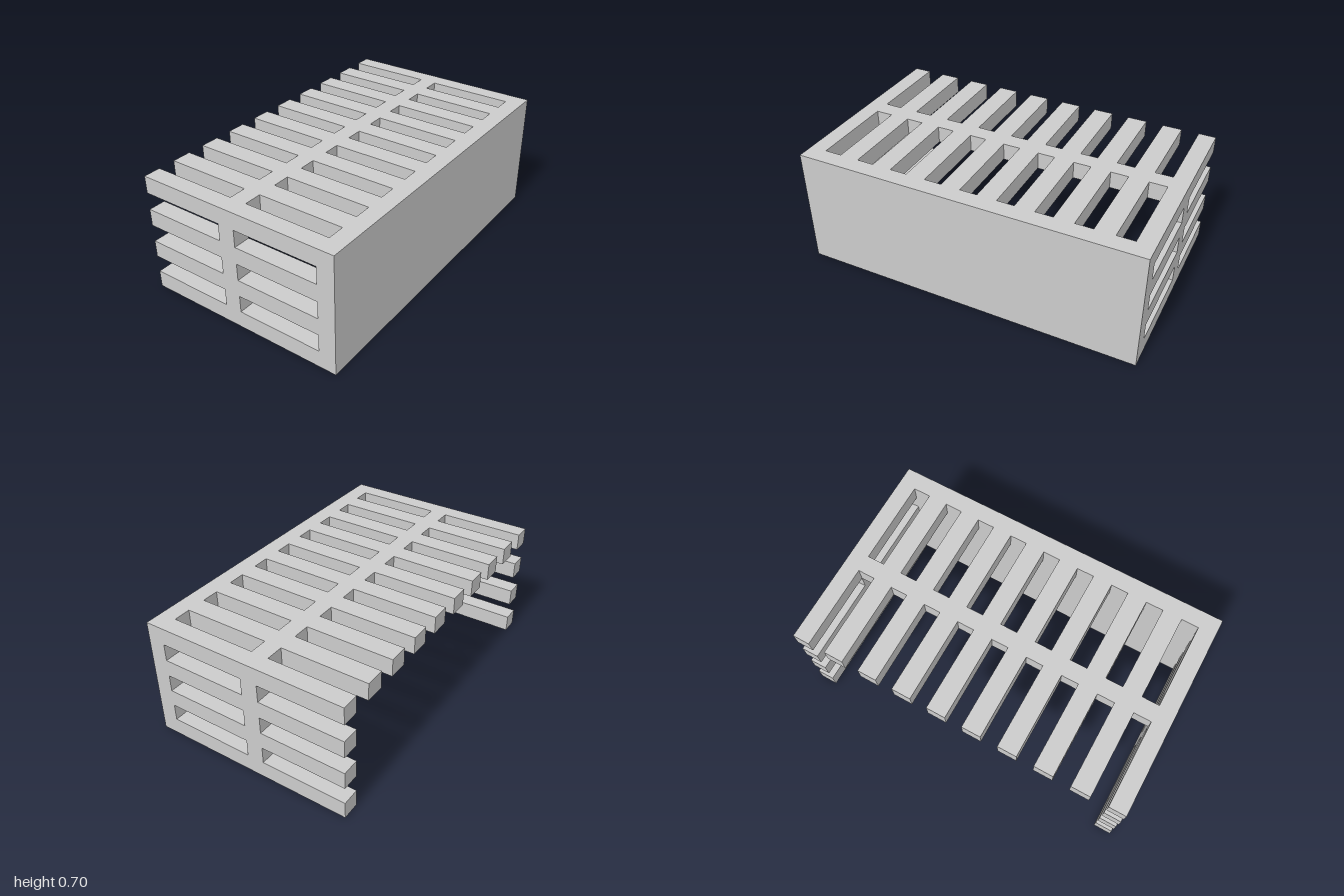
import * as THREE from 'three';

const T = 0.1;                      // wall, rail and slot thickness
const W = 2, H = 0.7, D = 1.2;      // overall size
const FRONT = D / 2 - T;            // inner face of the front wall

export function createModel() {
  const group = new THREE.Group();
  const material = new THREE.MeshStandardMaterial({ color: 0xcccccc, flatShading: true });

  // Box given by its minimum and maximum corners
  const block = (name, x0, x1, y0, y1, z0, z1) => {
    const mesh = new THREE.Mesh(new THREE.BoxGeometry(x1 - x0, y1 - y0, z1 - z0), material);
    mesh.position.set((x0 + x1) / 2, (y0 + y1) / 2, (z0 + z1) / 2);
    mesh.name = name;
    group.add(mesh);
  };

  // Solid front wall
  block('frontWall', -W / 2, W / 2, 0, H, FRONT, D / 2);

  // Top: ten bars running back from the wall, tied by a cross rail
  const slots = 9;
  const pitch = (W - 3 * T) / (slots - 1);
  const slotStart = (i) => -W / 2 + T + i * pitch;
  for (let i = 0; i <= slots; i++) {
    const x0 = i === 0 ? -W / 2 : slotStart(i - 1) + T;
    const x1 = i === slots ? W / 2 : slotStart(i);
    block('topBar', x0, x1, H - T, H, -D / 2, FRONT);
    if (i < slots) block('topRail', x1, x1 + T, H - T, H, -T, 0);
  }

  // Sides: three bars each below the top corner bar, joined by short posts
  for (const [side, x0] of [['left', W / 2 - T], ['right', -W / 2]]) {
    for (let i = 0; i < 3; i++) {
      const y = i * 2 * T;
      block(side + 'Bar', x0, x0 + T, y, y + T, -D / 2, FRONT);
      block(side + 'Post', x0, x0 + T, y + T, y + 2 * T, -T, 0);
    }
  }
  return group;
}
